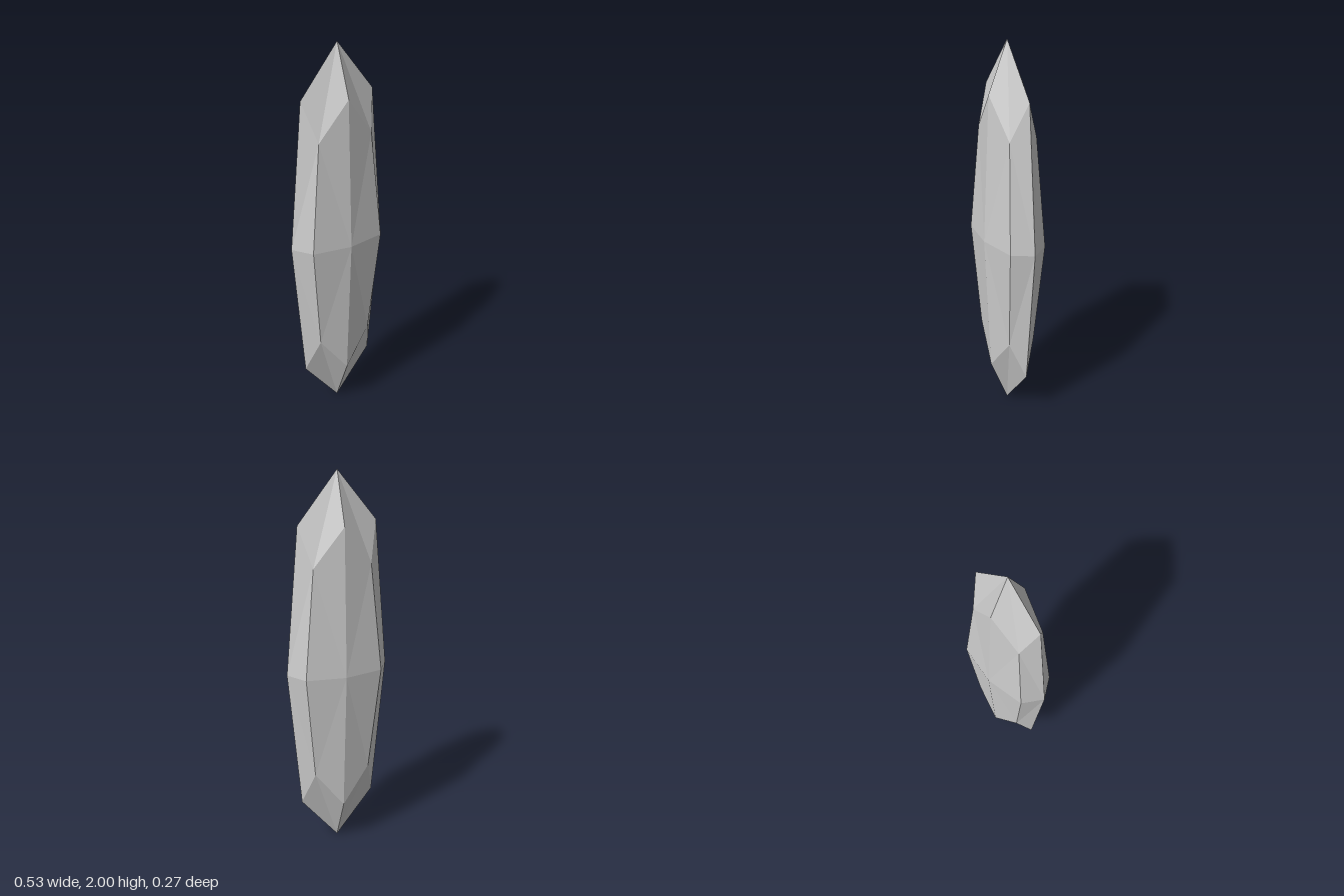
import * as THREE from 'three';

// Faceted crystal: a stretched 48-sided solid, eight mirrored octants of six triangles.
const HALF = new THREE.Vector3(0.2667, 1, 0.1333);
const EDGE = 3 / 4;   // points between two axes
const CORNER = 5 / 9; // points between three axes

function crystalGeometry() {
  const positions = [];
  const axes = [[0, 1, 2], [1, 2, 0], [2, 0, 1]];
  for (const sx of [1, -1]) for (const sy of [1, -1]) for (const sz of [1, -1]) {
    const place = (p) => [p[0] * sx * HALF.x, 1 + p[1] * sy * HALF.y, p[2] * sz * HALF.z];
    const corner = [CORNER, CORNER, CORNER];
    // Mirrored octants need the opposite corner order
    const add = (a, b, c) => {
      const tri = sx * sy * sz > 0 ? [a, b, c] : [a, c, b];
      tri.forEach((p) => positions.push(...place(p)));
    };
    for (const [i, j, k] of axes) {
      const tip = [0, 0, 0], edgeA = [0, 0, 0], edgeB = [0, 0, 0];
      tip[i] = 1;
      edgeA[i] = edgeA[j] = EDGE;
      edgeB[i] = edgeB[k] = EDGE;
      add(tip, edgeA, corner);
      add(tip, corner, edgeB);
    }
  }
  const geometry = new THREE.BufferGeometry();
  geometry.setAttribute('position', new THREE.Float32BufferAttribute(positions, 3));
  geometry.computeVertexNormals();
  return geometry;
}

export function createModel() {
  const group = new THREE.Group();
  const material = new THREE.MeshStandardMaterial({ color: 0xcccccc, flatShading: true });
  const crystal = new THREE.Mesh(crystalGeometry(), material);
  crystal.name = 'crystal';
  group.add(crystal);
  return group;
}
